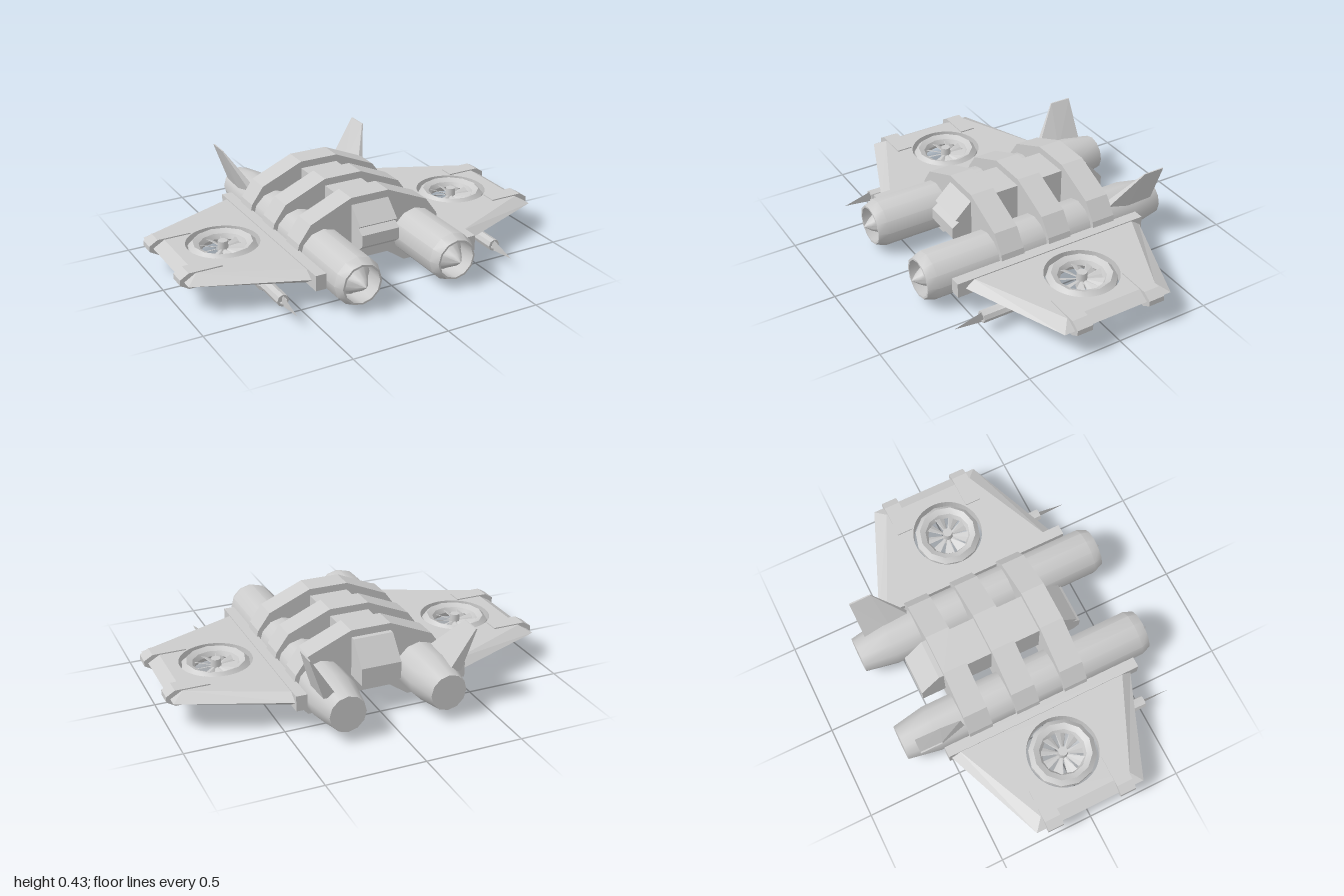
import * as THREE from 'three';
import { toCreasedNormals } from 'three/addons/utils/BufferGeometryUtils.js';
import { ConvexGeometry } from 'three/addons/geometries/ConvexGeometry.js';

const mat = new THREE.MeshStandardMaterial({ color: 0xcccccc });
const thinMat = new THREE.MeshStandardMaterial({ color: 0xcccccc, side: THREE.DoubleSide });
const MID_Y = 0.155;

function add(parent, name, geometry, x = 0, y = 0, z = 0, material = mat) {
  const mesh = new THREE.Mesh(geometry, material);
  mesh.name = name;
  mesh.position.set(x, y, z);
  parent.add(mesh);
  return mesh;
}

const vec2 = (pts) => pts.map(([a, b]) => new THREE.Vector2(a, b));
const lathe = (pts, sides) => toCreasedNormals(new THREE.LatheGeometry(vec2(pts), sides), 0.6);
const latheZ = (pts, sides) => lathe(pts, sides).rotateX(Math.PI / 2);
const hull = (pts) => new ConvexGeometry(pts.map((p) => new THREE.Vector3(...p)));

// Outline in (x, y) extruded along z from z0 to z1
function slab(pts, z0, z1) {
  const g = new THREE.ExtrudeGeometry(new THREE.Shape(vec2(pts)), { depth: z1 - z0, bevelEnabled: false });
  return g.translate(0, 0, z0);
}

// Wing plate: flat faces, sharp outer edge, straight round fan opening
function wingGeometry() {
  const shape = new THREE.Shape(vec2([[0.43, -0.47], [0.92, -0.25], [0.92, 0.25], [0.43, 0.47]]));
  const hole = new THREE.Path();
  hole.absarc(0.675, 0, 0.185, 0, Math.PI * 2, true);
  shape.holes.push(hole);
  const g = new THREE.ExtrudeGeometry(shape, { depth: 0.07, steps: 2, bevelEnabled: false, curveSegments: 32 });
  const p = g.attributes.position;
  for (let i = 0; i < p.count; i++) {
    const x = p.getX(i), y = p.getY(i);
    const middle = Math.abs(p.getZ(i) - 0.035) < 0.01;
    if (middle && Math.hypot(x - 0.675, y) > 0.2) {
      p.setX(i, x > 0.8 ? 0.98 : x);
      p.setY(i, y + Math.sign(y) * 0.05);
    }
  }
  g.computeVertexNormals();
  return g.rotateX(Math.PI / 2).translate(0, MID_Y + 0.035, 0);
}

// Built on +x; the other side is the same turned half a circle
function wingAssembly() {
  const wing = new THREE.Group();
  add(wing, 'wingPlate', wingGeometry());

  // Tip pods
  for (const s of [-1, 1]) {
    const pts = [];
    for (const z of [0.16, 0.245]) {
      for (const [x, h] of [[0.78, 0.041], [0.955, 0.041], [1, 0.014]]) {
        pts.push([x, MID_Y + h, s * z], [x, MID_Y - h, s * z]);
      }
    }
    add(wing, 'tipPod', hull(pts));
  }

  // Lift fan: ring, hub and pitched blades
  const fan = new THREE.Group();
  fan.name = 'liftFan';
  fan.position.set(0.675, MID_Y, 0);
  add(fan, 'fanRing', lathe([[0.15, -0.04], [0.175, -0.015], [0.175, 0.015], [0.15, 0.04],
    [0.12, 0.025], [0.107, 0], [0.12, -0.025], [0.15, -0.04]], 12));
  add(fan, 'fanHub', new THREE.CylinderGeometry(0.025, 0.03, 0.085, 10));
  const blade = hull([[0.02, 0, -0.008], [0.02, 0, 0.008], [0.02, 0.004, 0],
    [0.115, 0, -0.033], [0.115, 0, 0.033], [0.115, 0.004, 0]]).rotateX(0.5);
  for (let i = 0; i < 9; i++) {
    add(fan, 'fanBlade', blade).rotation.y = (i * Math.PI * 2) / 9;
  }
  wing.add(fan);
  return wing;
}

export function createModel() {
  const model = new THREE.Group();
  model.name = 'aircraft';

  // Central fuselage: side profile in (z, y), extruded across x
  const body = slab([[-0.51, 0.17], [0.36, 0.165], [0.39, 0.19], [0.39, 0.25], [0.35, 0.275],
    [0.37, 0.29], [0.28, 0.375], [-0.41, 0.375], [-0.51, 0.26]], -0.105, 0.105);
  add(model, 'fuselage', body.rotateY(-Math.PI / 2));

  // Three bands that wrap the fuselage and both engines
  const half = [[0.105, 0.412], [0.33, 0.315], [0.395, 0.225], [0.412, 0.155], [0.395, 0.075],
    [0.335, 0.003], [0.205, 0.003], [0.105, 0.073]];
  const outline = [...half, ...half.map(([x, y]) => [-x, y]).reverse()];
  for (const z of [0.217, -0.055, -0.32]) {
    add(model, 'band', slab(outline, z - 0.064, z + 0.064));
  }

  const engineGeo = latheZ([[0, -0.71], [0.094, -0.71], [0.125, -0.54], [0.125, 0.62],
    [0.105, 0.67], [0.095, 0.67], [0.1, 0.56], [0, 0.56]], 12);
  const spinnerGeo = latheZ([[0.09, 0.57], [0.03, 0.67], [0, 0.705]], 10);
  const gunGeo = latheZ([[0, 0.2], [0.025, 0.21], [0.04, 0.25], [0.04, 0.32], [0.031, 0.335],
    [0.031, 0.515], [0.02, 0.515], [0.02, 0.49], [0, 0.49]], 8);
  const bladeGeo = new THREE.ShapeGeometry(
    new THREE.Shape(vec2([[0.5, 0.055], [0.66, 0.075], [0.5, 0.118]]))).rotateY(-Math.PI / 2);

  for (const s of [1, -1]) {
    const side = s > 0 ? 'left' : 'right';
    add(model, side + 'Engine', engineGeo, s * 0.263, MID_Y, 0);
    add(model, side + 'Spinner', spinnerGeo, s * 0.263, MID_Y, 0);
    add(model, side + 'WingRail', new THREE.BoxGeometry(0.056, 0.08, 1.08), s * 0.421, MID_Y, 0.015);

    // Outward-leaning tail fin, thick at its root
    const fin = [[0.3, 0.23, -0.37], [0.34, 0.23, -0.38], [0.285, 0.225, -0.5], [0.365, 0.225, -0.5],
      [0.29, 0.225, -0.645], [0.36, 0.225, -0.645], [0.426, 0.437, -0.54], [0.432, 0.437, -0.54],
      [0.424, 0.437, -0.655], [0.432, 0.437, -0.655]];
    add(model, side + 'TailFin', hull(fin.map(([x, y, z]) => [s * x, y, z])));

    // Gun pod under the wing with an upright blade at its nose
    add(model, side + 'GunPod', gunGeo, s * 0.6, 0.087, 0);
    add(model, side + 'GunPylon', new THREE.BoxGeometry(0.05, 0.04, 0.12), s * 0.6, 0.115, 0.27);
    add(model, side + 'GunBlade', bladeGeo, s * 0.6, 0, 0, thinMat);

    const wing = wingAssembly();
    wing.name = side + 'Wing';
    wing.rotation.y = s > 0 ? 0 : Math.PI;
    model.add(wing);
  }
  return model;
}
